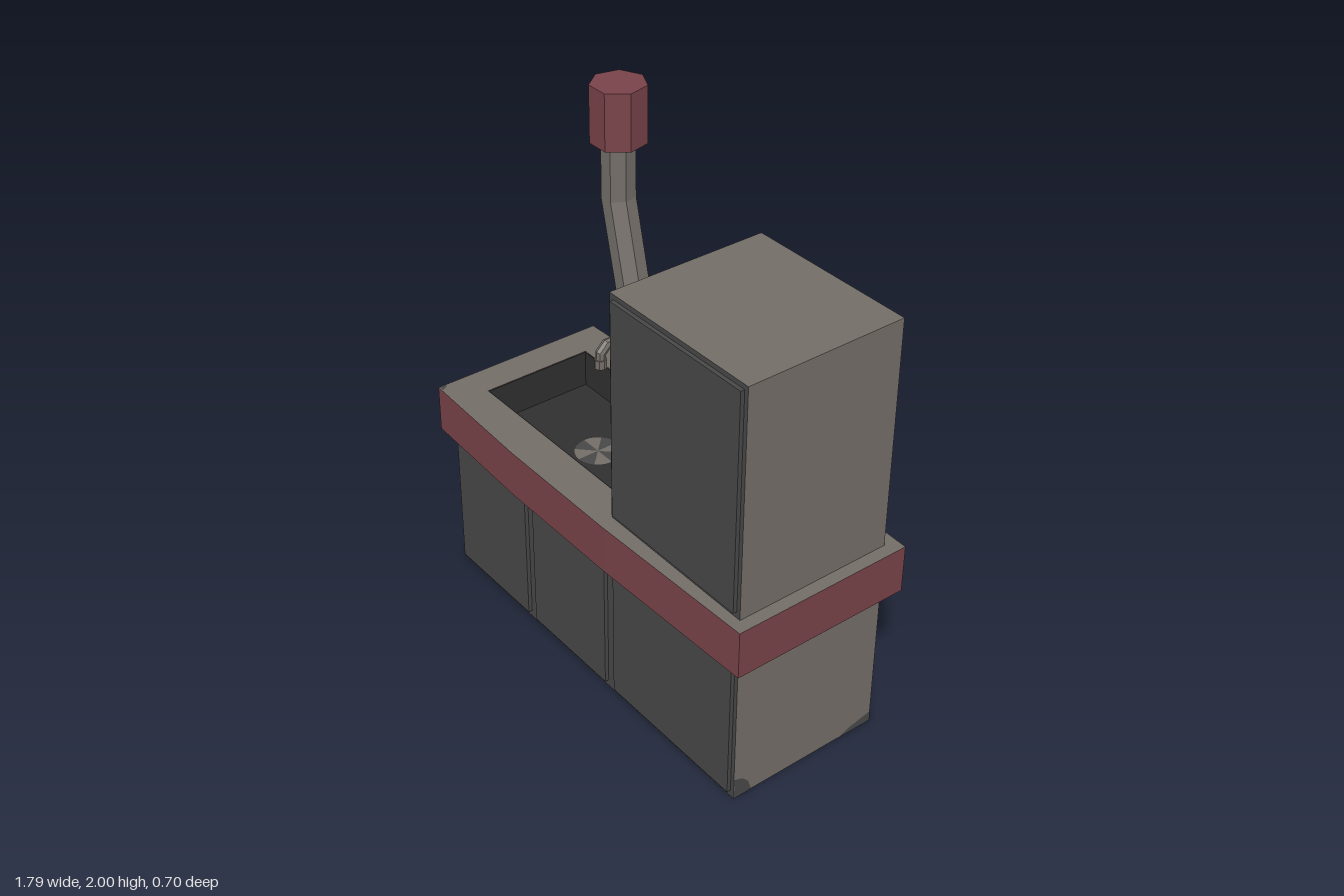
import * as THREE from 'three';

const mat = (name, color, extra = {}) => {
  const m = new THREE.MeshStandardMaterial({ color, ...extra });
  m.name = name;
  return m;
};

export function createModel() {
  const grey = mat('warm grey', 0x736d67);
  const dark = mat('dark grey', 0x484848);
  const black = mat('sink black', 0x2f2f2f);
  const red = mat('dull red', 0x784349);
  const root = new THREE.Group();
  root.name = 'kitchenUnit';

  const add = (name, geo, material, parent = root) => {
    const mesh = new THREE.Mesh(geo, material);
    mesh.name = name;
    parent.add(mesh);
    return mesh;
  };
  // box given by its limits on each axis
  const box = (name, x0, x1, y0, y1, z0, z1, material, parent) => {
    const g = new THREE.BoxGeometry(x1 - x0, y1 - y0, z1 - z0);
    return add(name, g.translate((x0 + x1) / 2, (y0 + y1) / 2, (z0 + z1) / 2), material, parent);
  };
  // faceted upright prism with one edge towards -z
  const prism = (name, r, y0, y1, x, z, material, parent, sides = 7) => {
    const g = new THREE.CylinderGeometry(r, r, y1 - y0, sides, 1, false, Math.PI).toNonIndexed();
    g.computeVertexNormals();
    return add(name, g.translate(x, (y0 + y1) / 2, z), material, parent);
  };
  // faceted pipe with mitred bends along a flat path; n is the normal of its plane
  const pipe = (name, points, r, n, material, parent, sides = 7) => {
    const path = points.map(p => new THREE.Vector3(...p));
    const rings = path.map((p, i) => {
      const a = p.clone().sub(path[Math.max(i - 1, 0)]).normalize();
      const b = path[Math.min(i + 1, path.length - 1)].clone().sub(p).normalize();
      const t = a.clone().add(b).normalize();
      const miter = 1 / Math.max(t.dot(i ? a : b), 0.5);
      const side = t.clone().cross(n);
      return Array.from({ length: sides }, (_, k) => {
        const ang = k / sides * Math.PI * 2;
        return p.clone().addScaledVector(n, r * Math.cos(ang)).addScaledVector(side, r * miter * Math.sin(ang));
      });
    });
    const verts = [];
    const tri = (...ps) => ps.forEach(p => verts.push(p.x, p.y, p.z));
    const last = rings.length - 1;
    for (let k = 0; k < sides; k++) {
      const j = (k + 1) % sides;
      for (let i = 0; i < last; i++) {
        tri(rings[i][k], rings[i][j], rings[i + 1][j]);
        tri(rings[i][k], rings[i + 1][j], rings[i + 1][k]);
      }
      tri(path[0], rings[0][j], rings[0][k]);
      tri(path[last], rings[last][k], rings[last][j]);
    }
    const g = new THREE.BufferGeometry();
    g.setAttribute('position', new THREE.Float32BufferAttribute(verts, 3));
    g.computeVertexNormals();
    return add(name, g, material, parent);
  };

  // cabinets with dark fronts and raised doors
  const cabinetMats = [grey, grey, grey, grey, dark, grey];
  box('baseCabinet', -0.68, 0.845, 0, 0.556, -0.287, 0.29, cabinetMats);
  box('upperCabinet', 0.222, 0.845, 0.72, 1.545, -0.287, 0.29, cabinetMats);
  for (const [x0, x1] of [[-0.66, -0.252], [-0.207, 0.195], [0.242, 0.83]])
    box('baseDoor', x0, x1, 0.025, 0.53, 0.285, 0.304, dark);
  box('upperDoor', 0.242, 0.83, 0.75, 1.528, 0.285, 0.304, dark);

  // worktop with bowed long sides and a sink opening
  const rect = (x0, x1, y0, y1) => [[x0, y0], [x1, y0], [x1, y1], [x0, y1]].map(p => new THREE.Vector2(...p));
  const top = new THREE.Shape([[-0.724, -0.328], [-0.25, -0.346], [0.25, -0.346], [0.89, -0.328],
    [0.89, 0.333], [0.25, 0.35], [-0.25, 0.35], [-0.724, 0.333]].map(p => new THREE.Vector2(...p)));
  top.holes.push(new THREE.Path(rect(-0.603, 0.143, -0.205, 0.21)));
  const topGeo = new THREE.ExtrudeGeometry(top, { depth: 0.172, bevelEnabled: false });
  add('worktop', topGeo.rotateX(-Math.PI / 2).translate(0, 0.555, 0), [grey, red]);

  // sink lining
  const sink = new THREE.Group();
  sink.name = 'sink';
  root.add(sink);
  box('sinkFloor', -0.603, 0.143, 0.556, 0.59, -0.21, 0.205, black, sink);
  box('sinkWall', -0.603, -0.599, 0.56, 0.726, -0.21, 0.205, black, sink);
  box('sinkWall', 0.139, 0.143, 0.56, 0.726, -0.21, 0.205, black, sink);
  box('sinkWall', -0.603, 0.143, 0.56, 0.726, -0.21, -0.206, black, sink);
  box('sinkWall', -0.603, 0.143, 0.56, 0.726, 0.201, 0.205, black, sink);
  // drain made of alternating wedges
  for (let i = 0; i < 8; i++) {
    const wedge = new THREE.CircleGeometry(0.08, 1, i * Math.PI / 4, Math.PI / 4);
    wedge.scale(1, 1, 1).rotateX(-Math.PI / 2).translate(-0.24, 0.593, 0.005);
    add('drainWedge', wedge, i % 2 ? grey : dark, sink);
  }

  // tap with two handles
  const tap = new THREE.Group();
  tap.name = 'tap';
  root.add(tap);
  const X = new THREE.Vector3(1, 0, 0), Z = new THREE.Vector3(0, 0, -1);
  const tx = -0.23, tz = -0.257;
  prism('tapBase', 0.028, 0.72, 0.82, tx, tz, grey, tap, 8);
  pipe('tapSpout', [[tx, 0.8, tz], [tx, 0.93, tz], [tx, 0.985, -0.235], [tx, 1.018, -0.17],
    [tx, 1.015, -0.03], [tx, 0.99, -0.006], [tx, 0.965, -0.004]], 0.018, X, grey, tap, 8);
  prism('tapNozzle', 0.022, 0.935, 0.968, tx, -0.004, grey, tap, 8);
  pipe('handleBar', [[-0.308, 0.776, tz], [-0.152, 0.776, tz]], 0.01, Z, grey, tap, 6);
  for (const s of [-1, 1]) {
    prism('handleStem', 0.008, 0.758, 0.815, tx + s * 0.055, tz, grey, tap, 6);
    prism('handleCap', 0.012, 0.812, 0.828, tx + s * 0.055, tz, red, tap, 6);
  }

  // flue with its cap
  pipe('fluePipe', [[0.23, 1.138, 0], [0.1, 1.138, 0], [0.0, 1.175, 0], [-0.038, 1.3, 0],
    [-0.117, 1.62, 0], [-0.117, 1.83, 0]], 0.055, Z, grey);
  prism('flueCap', 0.09, 1.81, 2, -0.115, 0, red);

  // side outlet: red drum on a grey downpipe
  pipe('outletDrum', [[-0.897, 0.282, -0.043], [-0.67, 0.282, -0.043]], 0.087,
    new THREE.Vector3(0, -1, 0), red);
  prism('outletDownpipe', 0.07, 0, 0.26, -0.788, -0.043, grey);

  // worn patches: outlines in the plane of each face
  const patch = (points, rotate, x, y, z) => {
    const g = new THREE.ShapeGeometry(new THREE.Shape(points.map(p => new THREE.Vector2(...p))));
    const m = add('wornPatch', g, dark);
    m.rotation.set(...rotate);
    m.position.set(x, y, z);
  };
  const right = [0, Math.PI / 2, 0], left = [0, -Math.PI / 2, 0], back = [0, Math.PI, 0];
  patch([[0, 0], [0.07, 0], [0.055, 0.045], [0.03, 0.07], [0, 0.08]], right, 0.847, 0.001, 0.289);
  patch([[0, 0], [0.14, 0], [0.14, 0.04], [0.05, 0.02]], right, 0.847, 0.001, -0.146);
  patch([[0, 0], [0.09, 0], [0.03, 0.04], [0, 0.05]], left, -0.682, 0.001, -0.286);
  patch([[0, 0], [0, -0.08], [-0.02, -0.07], [-0.03, 0]], left, -0.682, 0.554, 0.285);
  patch([[0, 0], [0.15, 0], [0.08, 0.02], [0, 0.035]], back, 0.844, 0.001, -0.289);
  patch([[0, 0], [0.06, -0.03], [0.2, -0.05], [0.38, -0.04], [0.42, 0]], back, 0.8, 0.554, -0.289);
  patch([[0, 0], [0.025, 0], [0.015, 0.02], [0, 0.028]], [-Math.PI / 2, 0, 0], -0.722, 0.729, 0.326);

  return root;
}
